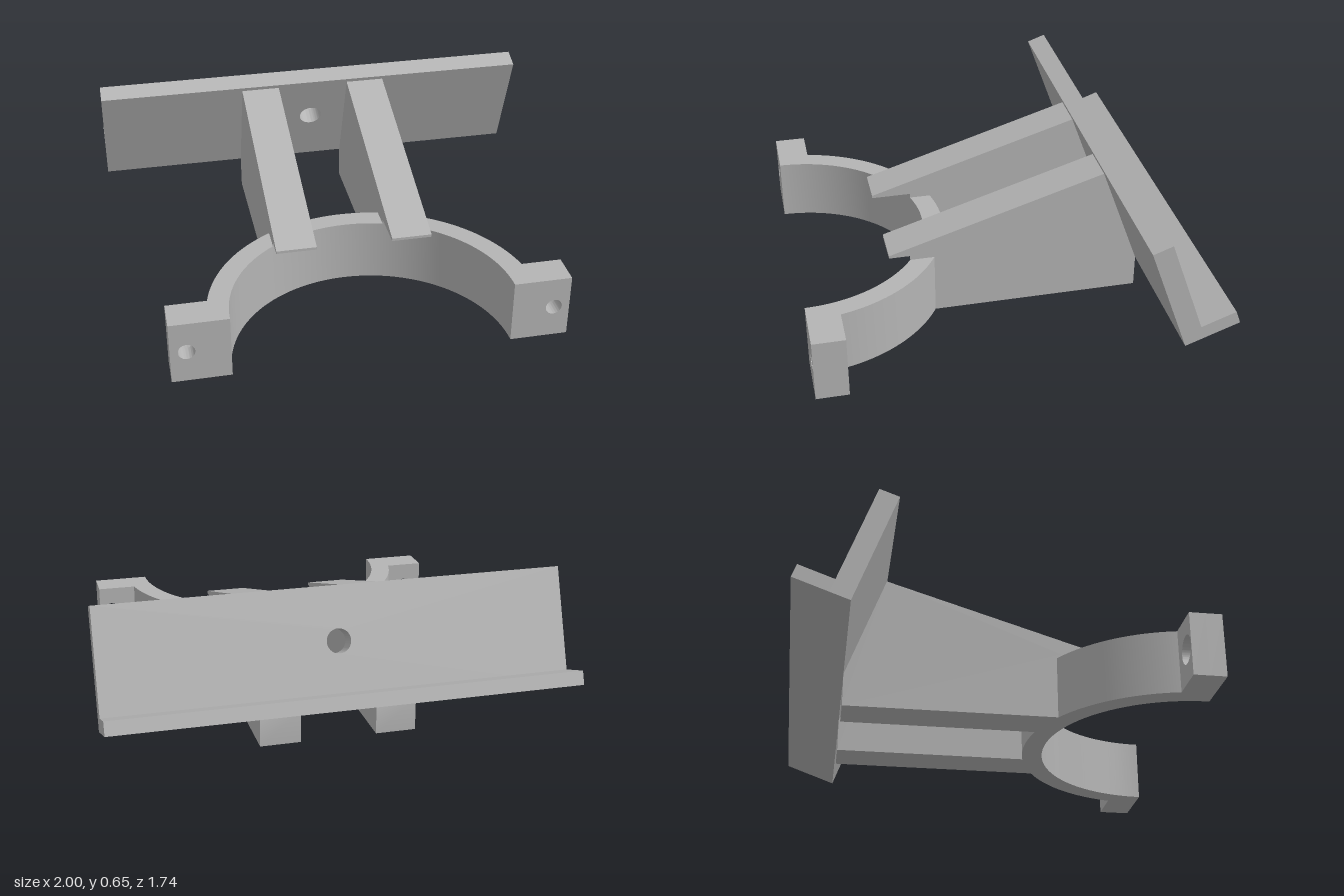
import * as THREE from 'three';
import { toCreasedNormals } from 'three/addons/utils/BufferGeometryUtils.js';

const CZ = 0.87, R_IN = 0.59, R_OUT = 0.68, H = 0.28; // half-ring clamp
const RIB_IN = 0.165, RIB_OUT = 0.34, RIB_CUT = 0.3;

export function createModel() {
  const group = new THREE.Group();
  const grey = new THREE.MeshStandardMaterial({ color: 0xb4b4b4 });
  grey.name = 'plain grey';

  const add = (name, geometry, parent = group) => {
    const mesh = new THREE.Mesh(geometry, grey);
    mesh.name = name;
    parent.add(mesh);
    return mesh;
  };
  const extrude = (shape, depth) => toCreasedNormals(
    new THREE.ExtrudeGeometry(shape, { depth, bevelEnabled: false, curveSegments: 48 }), 0.5);
  // Plan shapes are drawn in (x, z) and rise from y = 0
  const extrudePlan = (shape, height) => extrude(shape, height).rotateX(Math.PI / 2).translate(0, height, 0);
  const polygon = (points) => new THREE.Shape(points.map(([x, y]) => new THREE.Vector2(x, y)));
  const rectWithHole = (x0, x1, y0, y1, hx, hy, r) => {
    const shape = polygon([[x0, y0], [x1, y0], [x1, y1], [x0, y1]]);
    shape.holes.push(new THREE.Path().absarc(hx, hy, r, 0, Math.PI * 2, true));
    return shape;
  };

  // Half-ring clamp
  const ring = new THREE.Shape();
  ring.absarc(0, CZ, R_OUT, Math.PI, Math.PI * 2, false);
  ring.absarc(0, CZ, R_IN, Math.PI * 2, Math.PI, true);
  ring.closePath();
  add('clampRing', extrudePlan(ring, H));

  // Side profile of a rib in (z, y)
  const ribProfile = polygon([
    [-0.64, 0], [0.302, 0], [0.302, RIB_CUT], [0.48, RIB_CUT],
    [0.48, 0.312], [-0.47, 0.605], [-0.64, 0.145],
  ]);

  for (const s of [1, -1]) {
    const side = s > 0 ? 'left' : 'right';

    // Bolt ear: narrow bore in front, wide counterbore behind
    const ear = new THREE.Group();
    ear.name = side + 'Ear';
    group.add(ear);
    const x0 = Math.min(s * 0.592, s * 0.838), x1 = Math.max(s * 0.592, s * 0.838);
    add('earFront', extrude(rectWithHole(x0, x1, 0, H, s * 0.77, 0.143, 0.035), 0.07), ear).position.z = 0.8;
    add('earBack', extrude(rectWithHole(x0, x1, 0, H, s * 0.77, 0.143, 0.062), 0.07), ear).position.z = 0.73;

    // Support rib
    const rib = extrude(ribProfile, RIB_OUT - RIB_IN).rotateY(-Math.PI / 2);
    add(side + 'Rib', rib).position.x = s > 0 ? RIB_OUT : -RIB_IN;

    // Rib foot following the inner curve of the clamp
    const foot = [[s * RIB_OUT, 0.302]];
    for (let i = 0; i <= 10; i++) {
      const x = RIB_OUT + (RIB_IN - RIB_OUT) * i / 10;
      foot.push([s * x, CZ - Math.sqrt(R_IN * R_IN - x * x)]);
    }
    add(side + 'RibFoot', extrudePlan(polygon(foot), RIB_CUT));
  }

  // Tilted backrest plate with a screw hole and a lower lip
  const shelf = new THREE.Group();
  shelf.name = 'tiltedShelf';
  shelf.position.set(0, 0.145, -0.64);
  shelf.rotation.x = THREE.MathUtils.degToRad(20);
  group.add(shelf);
  const plate = extrude(rectWithHole(-1, 1, 0, 0.506, 0, 0.275, 0.052), 0.088);
  add('backPlate', plate, shelf).position.z = -0.088;
  const lip = new THREE.BoxGeometry(2, 0.06, 0.157).translate(0, 0.03, -0.088 - 0.0785);
  add('lowerLip', lip, shelf);

  return group;
}
